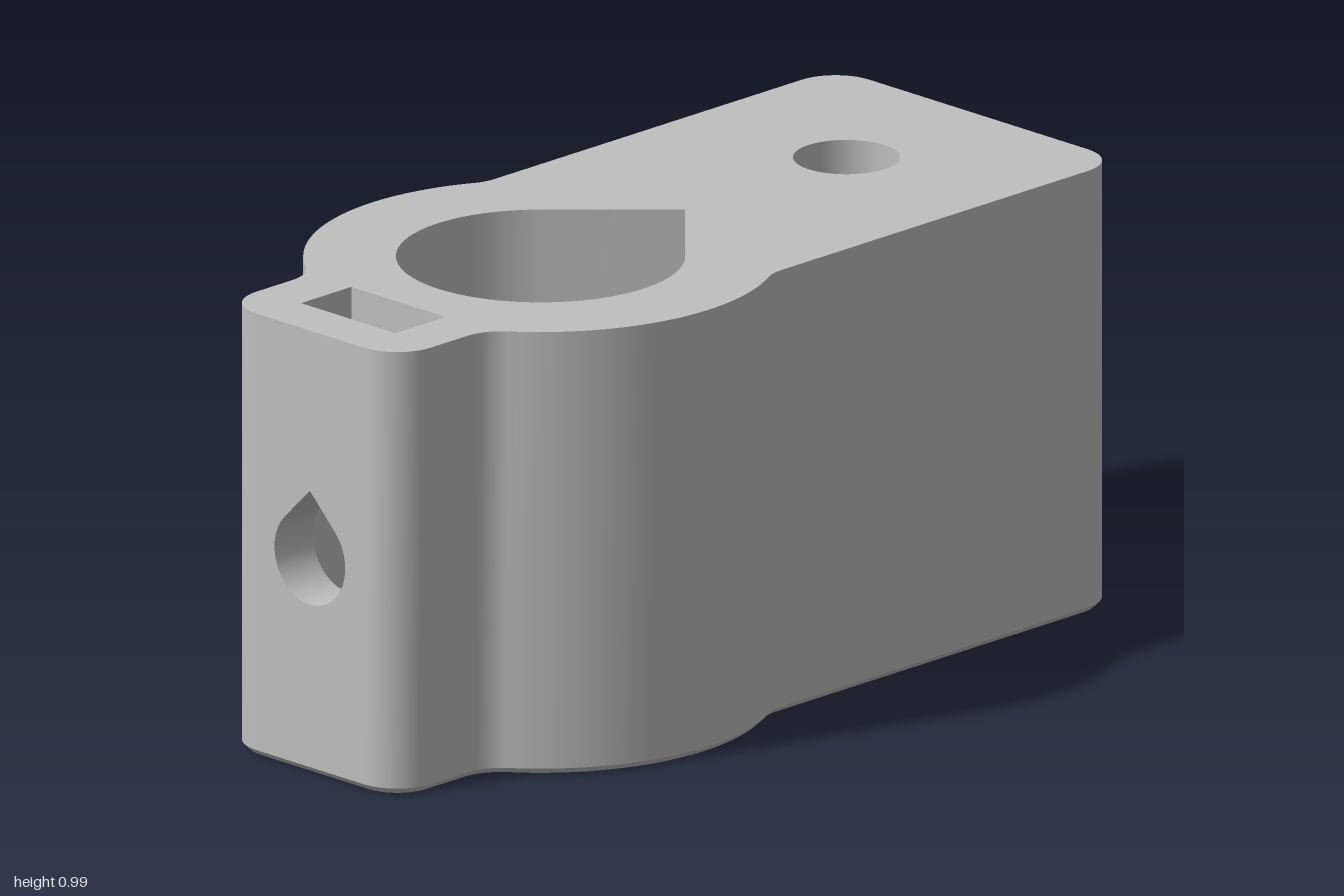
import * as THREE from 'three';
import { toCreasedNormals } from 'three/addons/utils/BufferGeometryUtils.js';

const H = 0.985, CHAMFER = 0.014;
const BORE_X = -0.31, BORE_R = 0.305, GAP = 0.404;
const HEX_TOP = 0.35, SLOT_FLOOR = 0.32, SLOT_A = -0.885, SLOT_B = -0.735, SLOT_W = 0.14;
const P = (x, y) => new THREE.Vector2(x, y);

// Points along an arc; the direction follows from the two angles
function arc(cx, cy, r, a0, a1, n) {
  return Array.from({ length: n + 1 }, (_, i) => {
    const a = a0 + (a1 - a0) * i / n;
    return P(cx + r * Math.cos(a), cy + r * Math.sin(a));
  });
}

// Outer plan outline, inset by d, starting and ending at the narrow end face
function outline(d) {
  const h = Math.PI / 2;
  const a = Math.atan2(0.525, 0.29), b = Math.atan2(0.36, -0.48);
  const half = [
    ...arc(0.9, 0.325, 0.1 - d, 0, h, 10),
    ...arc(-0.02, 0.525, 0.1 + d, -h, a - Math.PI, 5),
    ...arc(BORE_X, 0, 0.5 - d, a, b, 28),
    ...arc(-0.79, 0.36, 0.1 + d, b - Math.PI, -h, 8),
    ...arc(-0.9, 0.16, 0.1 - d, h, Math.PI, 10),
  ].filter((p, i, all) => i === 0 || p.distanceTo(all[i - 1]) > 1e-3);
  return [...half.map(p => P(p.x, -p.y)).reverse(), ...half];
}

// Plan points lifted to height y
const lift = (pts, y) => pts.map(p => new THREE.Vector3(p.x, y, -p.y));

// Strip of quads between two rings
function ribbon(A, B, closed = true) {
  const pos = [], n = A.length;
  for (let i = 0; i < (closed ? n : n - 1); i++) {
    const j = (i + 1) % n;
    for (const v of [A[i], A[j], B[j], A[i], B[j], B[i]]) pos.push(v.x, v.y, v.z);
  }
  const g = new THREE.BufferGeometry();
  g.setAttribute('position', new THREE.Float32BufferAttribute(pos, 3));
  return toCreasedNormals(g, 0.5);
}

// Flat face with holes
function face(pts, holes = []) {
  const s = new THREE.Shape(pts);
  s.holes = holes.map(h => new THREE.Path(h));
  return new THREE.ShapeGeometry(s);
}

export function createModel() {
  const group = new THREE.Group();
  const grey = new THREE.MeshStandardMaterial({ color: 0xbfbfbf, side: THREE.DoubleSide });
  grey.name = 'light grey';
  const add = (name, geometry) => {
    const m = new THREE.Mesh(geometry, grey);
    m.name = name;
    group.add(m);
  };
  const up = (g, y) => g.rotateX(-Math.PI / 2).translate(0, y, 0);
  const down = (g, y) => g.rotateX(Math.PI / 2).translate(0, y, 0);

  // Plan loops
  const outer = outline(0), inset = outline(CHAMFER);
  const boreWall = [
    ...arc(BORE_X, 0, BORE_R, Math.PI + GAP, Math.PI * 1.75, 24),
    P(BORE_X + BORE_R * Math.SQRT2, 0),
    ...arc(BORE_X, 0, BORE_R, Math.PI / 4, Math.PI - GAP, 24),
  ];
  const boreBack = arc(BORE_X, 0, BORE_R, Math.PI - GAP, Math.PI + GAP, 10);
  const bore = [...boreWall, ...boreBack.slice(1, -1)];
  const round = arc(0.605, 0, 0.113, 0, Math.PI * 2, 40).slice(0, -1);
  const hex = arc(0.605, 0, 0.22, 0, Math.PI * 2, 6).slice(0, -1);
  const slot = [P(SLOT_A, -SLOT_W), P(SLOT_B, -SLOT_W), P(SLOT_B, SLOT_W), P(SLOT_A, SLOT_W)];

  // Teardrop screw hole in the end, as (z, y) points
  const tear = [
    ...arc(0, 0.48, 0.105, Math.PI * 0.75, Math.PI * 2.25, 28),
    P(0, 0.48 + 0.105 * Math.SQRT2),
  ];
  const rect = (w, y0, y1) => [P(-w, y0), P(w, y0), P(w, y1), P(-w, y1)];
  const boreSurface = z => BORE_X - Math.sqrt(BORE_R ** 2 - z ** 2);

  // Body shell
  add('topFace', up(face(outer, [bore, round, slot]), H));
  add('bottomFace', down(face(inset, [bore, hex]), 0));
  add('bottomChamfer', ribbon(lift(inset, 0), lift(outer, CHAMFER)));
  add('sideWall', ribbon(lift(outer, CHAMFER), lift(outer, H), false));
  add('endWall', face(rect(0.16, CHAMFER, H), [tear]).rotateY(-Math.PI / 2).translate(-1, 0, 0));

  // Main bore, with a curved patch where the screw hole enters
  add('boreWall', ribbon(lift(boreWall, H), lift(boreWall, 0), false));
  const zs = boreBack.map(p => p.y);
  const patch = face([...zs.map(z => P(z, H)), ...[...zs].reverse().map(z => P(z, 0))], [tear]);
  patch.rotateY(Math.PI / 2);
  const pos = patch.attributes.position, nor = patch.attributes.normal;
  for (let i = 0; i < pos.count; i++) {
    const z = pos.getZ(i), x = boreSurface(z);
    pos.setX(i, x);
    nor.setXYZ(i, (BORE_X - x) / BORE_R, 0, -z / BORE_R);
  }
  add('boreScrewPatch', patch);

  // Bolt hole with hexagonal nut pocket below
  add('boltHole', ribbon(lift(round, H), lift(round, HEX_TOP)));
  add('nutPocket', ribbon(lift(hex, H).map(v => v.setY(HEX_TOP)), lift(hex, 0)));
  add('nutPocketCeiling', down(face(hex, [round]), HEX_TOP));

  // Nut slot in the narrow end
  for (const pair of [slot.slice(0, 2), slot.slice(2)])
    add('nutSlotSide', ribbon(lift(pair, H), lift(pair, SLOT_FLOOR), false));
  for (const [x, turn] of [[SLOT_A, 1], [SLOT_B, -1]])
    add('nutSlotWall', face(rect(SLOT_W, SLOT_FLOOR, H), [tear]).rotateY(turn * Math.PI / 2).translate(x, 0, 0));
  add('nutSlotFloor', up(face(slot), SLOT_FLOOR));

  // Screw hole running from the end face through the slot into the bore
  const ring = fx => tear.map(p => new THREE.Vector3(fx(p.x), p.y, p.x));
  add('screwHoleOuter', ribbon(ring(() => -1), ring(() => SLOT_A)));
  add('screwHoleInner', ribbon(ring(() => SLOT_B), ring(boreSurface)));

  return group;
}
